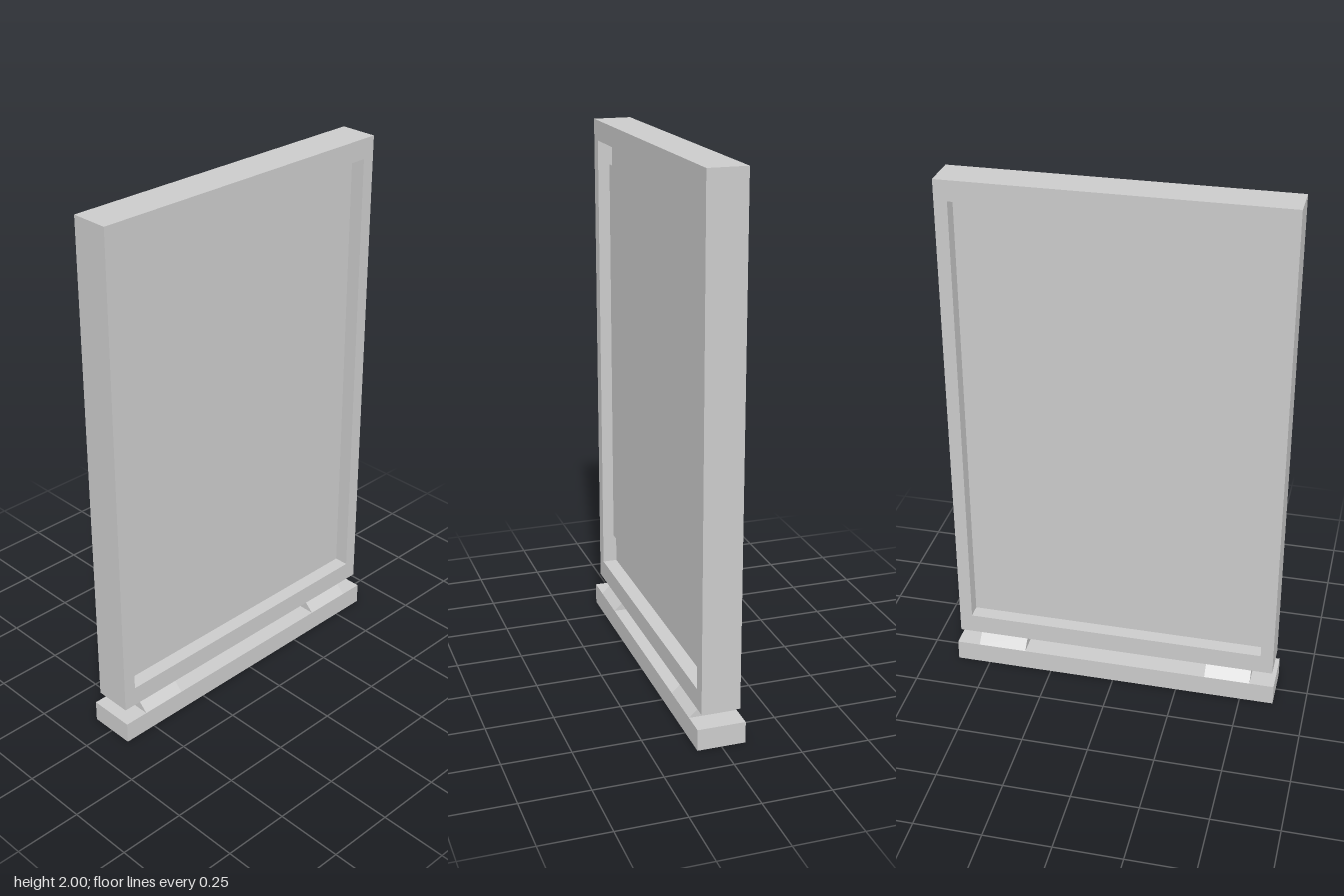
import * as THREE from 'three';

const grey = new THREE.MeshStandardMaterial({ color: 0xcccccc, flatShading: true });
const thinGrey = new THREE.MeshStandardMaterial({ color: 0xcccccc, side: THREE.DoubleSide });

function add(parent, name, geometry, x = 0, y = 0, z = 0, material = grey) {
  const mesh = new THREE.Mesh(geometry, material);
  mesh.name = name;
  mesh.position.set(x, y, z);
  parent.add(mesh);
  return mesh;
}

// Closed outline from a list of [x, y] points
const outline = (points, Type = THREE.Shape) =>
  new Type(points.map(([x, y]) => new THREE.Vector2(x, y)));
const rectangle = (w, y0, y1) => [[-w, y0], [w, y0], [w, y1], [-w, y1]];

// Extrusion centred on its own depth
function extrude(shape, depth) {
  return new THREE.ExtrudeGeometry(shape, { depth, bevelEnabled: false }).translate(0, 0, -depth / 2);
}

export function createModel() {
  const model = new THREE.Group();
  model.name = 'displayStand';

  // Base bar
  add(model, 'base', new THREE.BoxGeometry(1.256, 0.08, 0.177), 0, 0.04, 0);

  // Feet: sloped blocks carrying the frame
  const footProfile = outline([
    [-0.088, 0.08], [0.088, 0.08], [0.048, 0.118], [0.048, 0.131], [-0.048, 0.131], [-0.048, 0.118],
  ]);
  for (const [name, x, width] of [['rightFoot', -0.4475, 0.175], ['leftFoot', 0.446, 0.187]]) {
    add(model, name, extrude(footProfile, width), x).rotation.y = Math.PI / 2;
  }

  // Outer frame with a through opening
  const frame = outline(rectangle(0.618, 0.13, 2));
  frame.holes.push(outline(rectangle(0.57, 0.205, 1.925), THREE.Path));
  add(model, 'frame', extrude(frame, 0.142));

  // Recessed backing panel
  add(model, 'panel', new THREE.BoxGeometry(1.14, 1.72, 0.032), 0, 1.065, 0);

  // Thin display sheets standing off both faces of the panel
  for (const side of [1, -1]) {
    const sheet = add(model, side > 0 ? 'frontSheet' : 'backSheet',
      new THREE.PlaneGeometry(1.036, 1.504), 0, 1.09, side * 0.042, thinGrey);
    if (side < 0) sheet.rotation.y = Math.PI;
  }

  return model;
}
